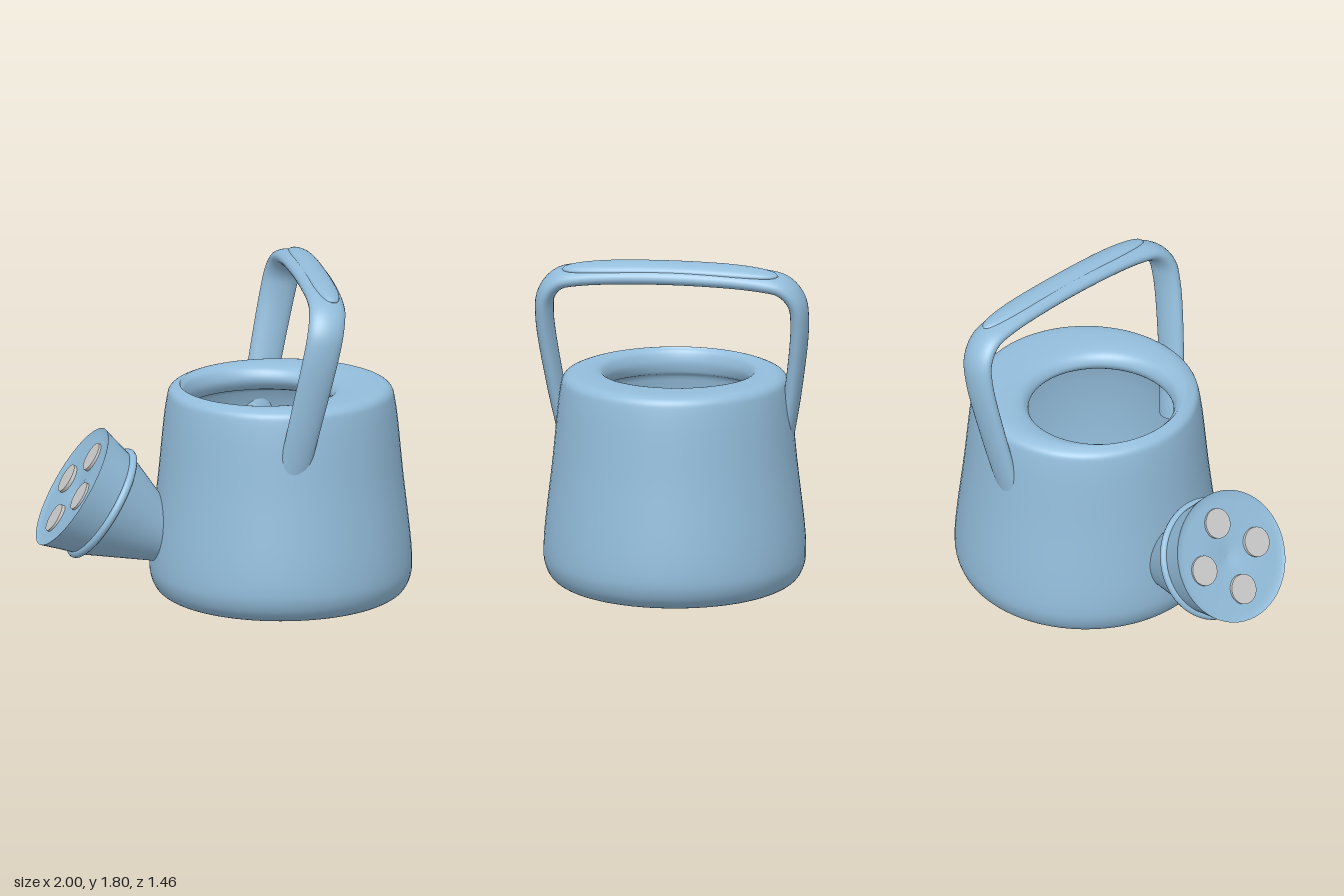
import * as THREE from 'three';

const blue = new THREE.MeshStandardMaterial({ color: 0x93bddb, side: THREE.DoubleSide });
const grey = new THREE.MeshStandardMaterial({ color: 0xcccccc });
const v = (x, y, z) => new THREE.Vector3(x, y, z);

function mesh(name, geometry, material = blue) {
  const m = new THREE.Mesh(geometry, material);
  m.name = name;
  return m;
}

// Skin closed rings of equal size, smooth across the seam
function loft(rings) {
  const n = rings[0].length, index = [];
  for (let i = 0; i < rings.length - 1; i++) {
    for (let j = 0; j < n; j++) {
      const a = i * n + j, b = i * n + (j + 1) % n;
      index.push(a, a + n, b, b, a + n, b + n);
    }
  }
  const g = new THREE.BufferGeometry().setFromPoints(rings.flat());
  g.setIndex(index);
  g.computeVertexNormals();
  return g;
}

// Sweep an ellipse along a path; size(u) gives half width and half thickness
function sweep(points, steps, size) {
  const path = new THREE.CatmullRomCurve3(points);
  const rings = [];
  for (let i = 0; i <= steps; i++) {
    const u = i / steps, p = path.getPointAt(u), t = path.getTangentAt(u);
    const wide = v(0.98, -0.2, 0);
    wide.addScaledVector(t, -wide.dot(t)).normalize();
    const thick = wide.clone().cross(t);
    const [w, h] = size(u);
    rings.push(Array.from({ length: 28 }, (_, j) => {
      const a = j / 28 * Math.PI * 2;
      return p.clone().addScaledVector(wide, w * Math.cos(a)).addScaledVector(thick, h * Math.sin(a));
    }));
  }
  return loft(rings);
}

// Hollow body with an off-centre opening: rows are centre x, radius, height
function bodyGeometry() {
  const profile = new THREE.CatmullRomCurve3([
    [0.305, 0.001, 0.005], [0.305, 0.5, 0.003], [0.305, 0.575, 0.013], [0.305, 0.65, 0.055],
    [0.305, 0.687, 0.125], [0.305, 0.695, 0.22], [0.305, 0.648, 0.68], [0.305, 0.605, 1.08],
    [0.305, 0.588, 1.135], [0.305, 0.545, 1.16], [0.215, 0.44, 1.157], [0.195, 0.402, 1.135],
    [0.19, 0.385, 1.085], [0.215, 0.42, 1.03], [0.305, 0.55, 0.98], [0.305, 0.63, 0.2],
    [0.305, 0.56, 0.06], [0.305, 0.001, 0.05],
  ].map(p => v(...p)));
  const rings = profile.getPoints(17 * 6).map(p =>
    Array.from({ length: 72 }, (_, j) => {
      const a = j / 72 * Math.PI * 2;
      return v(p.x + p.y * Math.cos(a), Math.max(0, p.z), p.y * Math.sin(a));
    }));
  return loft(rings);
}

// Turned part of the spout: pairs are radius and depth behind the mouth
const turned = points =>
  new THREE.LatheGeometry(points.map(([r, d]) => new THREE.Vector2(r, -d)), 56);

function createSpout() {
  const spout = new THREE.Group();
  spout.name = 'spout';
  spout.add(mesh('spoutCone', turned([[0.108, 0.64], [0.303, 0.19]])));
  spout.add(mesh('spoutRoseFlange', turned([[0.3, 0.18], [0.322, 0.1], [0.352, 0]])));

  const collar = mesh('spoutCollar', new THREE.TorusGeometry(0.304, 0.022, 10, 56));
  collar.rotation.x = Math.PI / 2;
  collar.position.y = -0.187;
  spout.add(collar);

  // Slightly dished sprinkler plate with four grey hole discs
  spout.add(mesh('sprinklerPlate', turned([
    [0.352, 0], [0.335, 0.008], [0.3, 0.012], [0.2, 0.016], [0.1, 0.022], [0.05, 0.034], [0, 0.04],
  ])));
  for (let i = 0; i < 4; i++) {
    const a = i * Math.PI / 2;
    const disc = mesh('sprinklerHole', new THREE.CylinderGeometry(0.08, 0.08, 0.02, 32), grey);
    disc.position.set(0.19 * Math.cos(a), -0.012, 0.19 * Math.sin(a));
    spout.add(disc);
  }

  spout.quaternion.setFromUnitVectors(v(0, 1, 0), v(-0.851, 0.525, 0).normalize());
  spout.position.set(-0.815, 0.65, 0);
  return spout;
}

// Leaning hoop handle, mirrored front to back
function handleGeometry() {
  const half = [
    [0.25, 0.72, 0.57], [0.325, 1.1, 0.638], [0.405, 1.48, 0.682], [0.43, 1.6, 0.668],
    [0.45, 1.682, 0.6], [0.463, 1.713, 0.48],
  ];
  const points = [
    ...half.map(([x, y, z]) => v(x, y, -z)),
    v(0.472, 1.738, 0),
    ...half.map(([x, y, z]) => v(x, y, z)).reverse(),
  ];
  return sweep(points, 120, u => {
    const k = Math.sin(Math.PI * u);
    return [0.08 + 0.022 * k, 0.042 + 0.009 * k];
  });
}

// Raised pad along the top of the handle
function gripGeometry() {
  const points = [-0.58, -0.3, 0, 0.3, 0.58].map(z => v(0.482, 1.767 - 0.07 * z * z, z));
  return sweep(points, 60, u => {
    const k = Math.max(0.002, Math.pow(Math.max(0, 1 - Math.pow(Math.abs(2 * u - 1), 5)), 0.5));
    return [0.07 * k, 0.033 * k];
  });
}

export function createModel() {
  const model = new THREE.Group();
  model.name = 'wateringCan';
  model.add(
    mesh('body', bodyGeometry()),
    createSpout(),
    mesh('handle', handleGeometry()),
    mesh('handleGrip', gripGeometry()),
  );
  return model;
}
